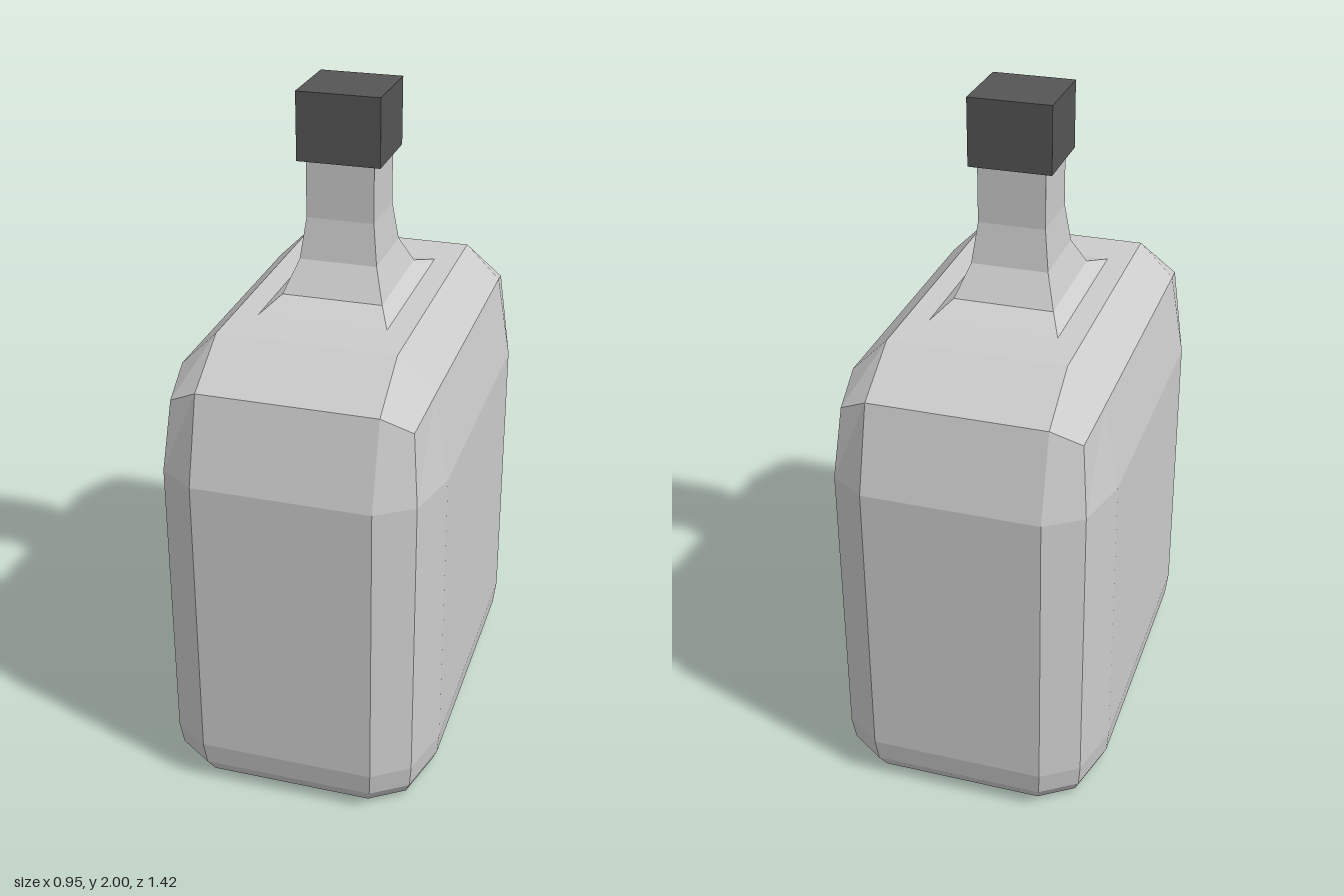
import * as THREE from 'three';

// Corner signs, going round from +x to +z
const QUADS = [[1, 1], [-1, 1], [-1, -1], [1, -1]];

// Mirror one quadrant of [x, y, z] points into a closed ring
function ring(points) {
  return QUADS.flatMap(([sx, sz]) => {
    const q = points.map(([x, y, z]) => new THREE.Vector3(x * sx, y, z * sz));
    return sx * sz < 0 ? q.reverse() : q;
  });
}

// Join rings from bottom to top, closing both ends
function loft(rings) {
  const pos = [];
  const tri = (a, b, c) => {
    const area = b.clone().sub(a).cross(c.clone().sub(a)).length();
    if (area > 1e-7) for (const p of [a, b, c]) pos.push(p.x, p.y, p.z);
  };
  const n = rings[0].length;
  const first = rings[0], last = rings[rings.length - 1];
  const bottom = new THREE.Vector3(0, first[0].y, 0);
  const top = new THREE.Vector3(0, last[0].y, 0);
  for (let i = 0; i < n; i++) {
    const j = (i + 1) % n;
    for (let k = 0; k < rings.length - 1; k++) {
      const lo = rings[k], hi = rings[k + 1];
      tri(lo[i], hi[i], lo[j]);
      tri(hi[i], hi[j], lo[j]);
    }
    tri(bottom, first[i], first[j]);
    tri(top, last[j], last[i]);
  }
  const geo = new THREE.BufferGeometry();
  geo.setAttribute('position', new THREE.Float32BufferAttribute(pos, 3));
  geo.computeVertexNormals();
  return geo;
}

export function createModel() {
  const glass = new THREE.MeshStandardMaterial({ color: 0xcccccc, flatShading: true });
  const dark = new THREE.MeshStandardMaterial({ color: 0x555555, flatShading: true });
  const bottle = new THREE.Group();
  bottle.name = 'bottle';
  const add = (name, geometry, material) => {
    const mesh = new THREE.Mesh(geometry, material);
    mesh.name = name;
    bottle.add(mesh);
    return mesh;
  };

  // Body: flat core with stretched two-step rounded corners
  const h = Math.SQRT1_2, t = 1 / Math.sqrt(3);
  const corner = (u, v, w) => [0.26 + 0.15 * u, 1.03 + 0.36 * v, 0.43 + 0.245 * w];
  const side = [corner(1, 0, 0), corner(h, 0, h), corner(0, 0, 1)];
  const level = (y, s) => ring(side.map(([x, , z]) => [x * s, y, z * s]));
  add('body', loft([
    level(0, 0.87), level(0.018, 0.935), level(0.065, 0.98), level(0.14, 1), level(1.03, 1),
    ring([corner(h, h, 0), corner(t, t, t), corner(0, h, h)]),
    ring([corner(0, 1, 0), corner(0, 1, 0), corner(0, 1, 0)]),
  ]), glass);

  // Neck: four-sided, flaring onto the shoulder
  const neck = [[0.19, 1.39, 0.28], [0.149, 1.42, 0.182], [0.115, 1.51, 0.122],
    [0.1, 1.63, 0.1], [0.1, 1.81, 0.1]];
  add('neck', loft(neck.map((p) => ring([p]))), glass);

  // Cap
  add('cap', new THREE.BoxGeometry(0.245, 0.2, 0.235), dark).position.y = 1.9;

  // The bottle stands slightly turned
  bottle.rotation.y = THREE.MathUtils.degToRad(9.8);
  const model = new THREE.Group();
  model.add(bottle);
  return model;
}
